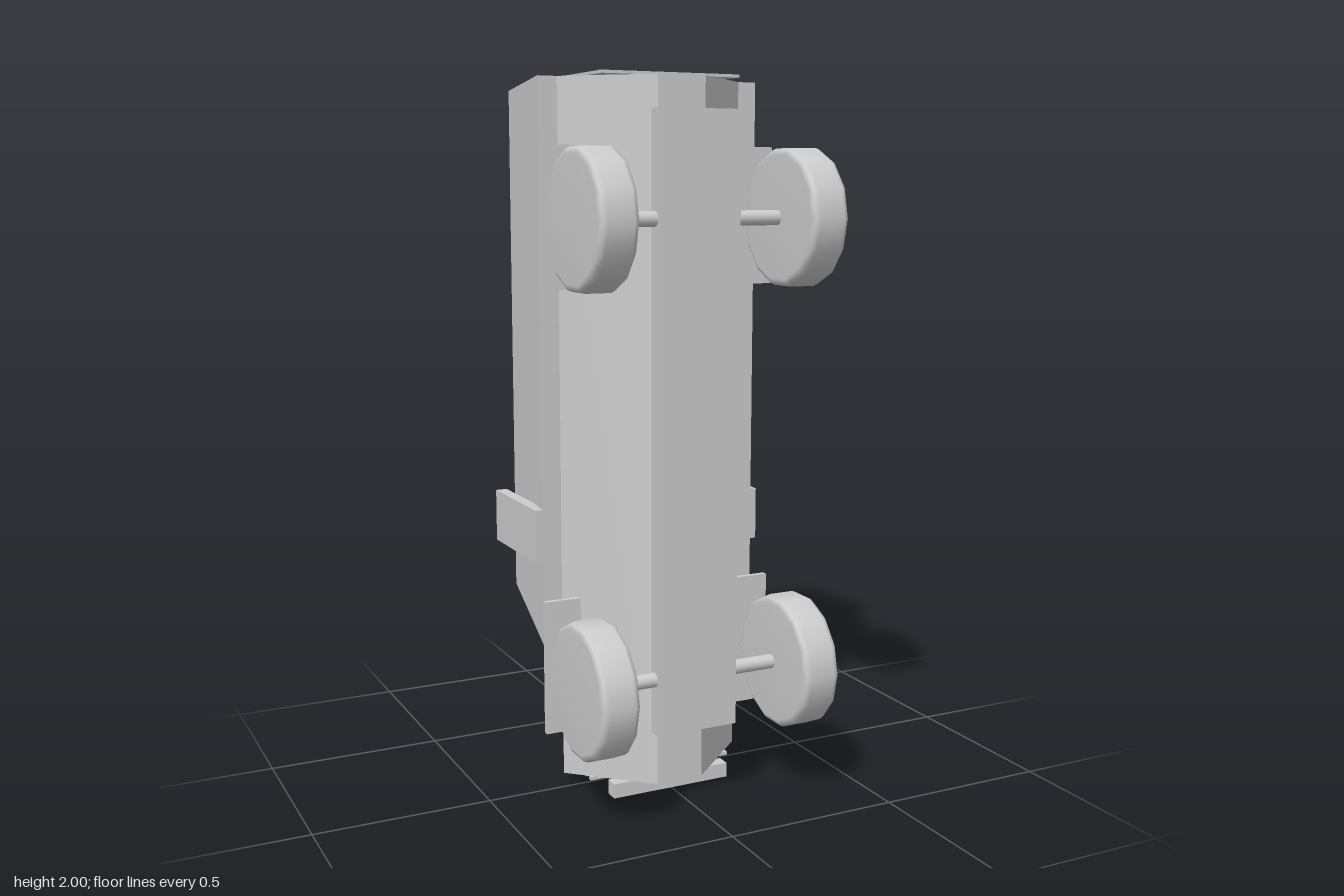
import * as THREE from 'three';

const grey = new THREE.MeshStandardMaterial({ color: 0xcccccc, side: THREE.DoubleSide });
grey.name = 'plain grey';

export function createModel() {
  const model = new THREE.Group();
  model.name = 'armouredTruck';

  const add = (name, geo, parent = model) => {
    const m = new THREE.Mesh(geo, grey);
    m.name = name;
    parent.add(m);
    return m;
  };
  // Box given by its extents on each axis
  const box = (name, x0, x1, y0, y1, z0, z1, parent) => {
    const g = new THREE.BoxGeometry(Math.abs(x1 - x0), y1 - y0, z1 - z0);
    g.translate((x0 + x1) / 2, (y0 + y1) / 2, (z0 + z1) / 2);
    return add(name, g, parent);
  };
  const quad = (name, a, b, c, d) => {
    const g = new THREE.BufferGeometry();
    g.setAttribute('position', new THREE.Float32BufferAttribute([a, b, c, a, c, d].flat(), 3));
    g.computeVertexNormals();
    return add(name, g);
  };

  // Upper hull: tapered thin shell, wide at the floor and narrow at the roof
  const f = [[-0.33, 0.43, 0], [0.33, 0.43, 0], [0.33, 1.99, 0], [-0.33, 1.99, 0]];
  const r = [[-0.28, 0.52, -0.347], [0.28, 0.52, -0.347], [0.28, 1.97, -0.347], [-0.28, 1.97, -0.347]];
  ['windscreenWall', 'leftWall', 'rearWall', 'rightWall'].forEach((name, i) => {
    const j = (i + 1) % 4;
    quad(name, f[i], r[i], r[j], f[j]);
  });
  quad('floor', f[0], f[1], f[2], f[3]);

  // Roof with the long cabin opening and the round hatch hole
  const roof = new THREE.Shape(r.map(p => new THREE.Vector2(p[0], p[1])));
  roof.holes.push(new THREE.Path([[-0.24, 1.03], [-0.24, 1.9], [0.24, 1.9], [0.24, 1.03]]
    .map(p => new THREE.Vector2(...p))));
  roof.holes.push(new THREE.Path().absarc(0, 0.74, 0.17, 0, Math.PI * 2, true));
  const roofGeo = new THREE.ShapeGeometry(roof, 12);
  roofGeo.translate(0, 0, -0.347);
  roofGeo.scale(1, 1, 1);
  add('roof', roofGeo);

  // Bulkhead between cabin and crew bay
  quad('bulkhead', [-0.325, 1.02, -0.001], [0.325, 1.02, -0.001], [0.28, 1.02, -0.346], [-0.28, 1.02, -0.346]);

  // V-shaped lower hull
  const vee = new THREE.Shape([[-0.275, 0], [0.275, 0], [0.07, 0.19], [-0.07, 0.19]]
    .map(p => new THREE.Vector2(...p)));
  const veeGeo = new THREE.ExtrudeGeometry(vee, { depth: 1.945, bevelEnabled: false });
  veeGeo.rotateX(Math.PI / 2);
  veeGeo.translate(0, 1.99, 0.001);
  add('lowerHull', veeGeo);

  box('bonnet', -0.225, 0.225, 0.045, 0.432, -0.076, 0);
  box('bumper', -0.18, 0.18, 0.003, 0.045, 0.1, 0.14);
  box('rearRamp', -0.205, 0.205, 1.992, 2, -0.322, 0.132);
  box('chassisBeam', -0.12, 0.12, 0.23, 1.9, 0.255, 0.297);
  box('fuelCap', 0.13, 0.16, 0.755, 0.78, 0.105, 0.13);

  // Grille slats on the nose
  for (let i = 0; i < 4; i++) {
    const z = -0.045 + i * 0.033;
    box('grilleSlat', -0.22, 0.22, 0.037, 0.047, z, z + 0.015);
  }

  // Wheels, axles and fenders
  const tyre = [[0, -0.055], [0.168, -0.055], [0.182, -0.048], [0.187, -0.036],
    [0.187, 0.036], [0.182, 0.048], [0.168, 0.055], [0, 0.055]].map(p => new THREE.Vector2(...p));
  for (const y of [0.385, 1.62]) {
    const axle = new THREE.CylinderGeometry(0.02, 0.02, 0.5, 16);
    axle.rotateZ(Math.PI / 2);
    axle.translate(0, y, 0.274);
    add('axle', axle);
    for (const s of [-1, 1]) {
      const wheel = new THREE.LatheGeometry(tyre, 14);
      wheel.rotateZ(Math.PI / 2);
      wheel.translate(s * 0.3, y, 0.275);
      add('wheel', wheel);
      box('fender', s * 0.245, s * 0.35, y - 0.19, y + 0.19, 0.047, 0.063);
    }
  }

  for (const s of [-1, 1]) {
    box('sideLocker', s * 0.317, s * 0.35, 0.67, 0.82, -0.317, -0.003);
    // Five seats along each cabin wall
    for (let i = 0; i < 5; i++) {
      const y = 1.12 + i * 0.157;
      box('seatCushion', s * 0.13, s * 0.27, y - 0.055, y + 0.055, -0.115, -0.085);
      box('seatBack', s * 0.262, s * 0.277, y - 0.055, y + 0.055, -0.3, -0.085);
    }
  }

  // Hatch ring
  const ring = new THREE.Shape().absarc(0, 0, 0.22, 0, Math.PI * 2);
  ring.holes.push(new THREE.Path().absarc(0, 0, 0.17, 0, Math.PI * 2, true));
  const ringGeo = new THREE.ExtrudeGeometry(ring, { depth: 0.01, bevelEnabled: false, curveSegments: 12 });
  ringGeo.translate(0, 0.74, -0.358);
  add('hatchRing', ringGeo);
  box('hatchLatch', -0.012, 0.012, 0.91, 0.945, -0.365, -0.357);

  // Gun mount: platform, crossbar, curved arms and two guns
  const mount = new THREE.Group();
  mount.name = 'gunMount';
  model.add(mount);
  box('mountPlatform', -0.15, 0.15, 0.648, 0.656, -0.46, -0.355, mount);
  const bar = new THREE.CylinderGeometry(0.005, 0.005, 0.36, 8);
  bar.rotateZ(Math.PI / 2);
  bar.translate(0, 0.66, -0.432);
  add('crossbar', bar, mount);
  for (const s of [-1, 1]) {
    const arc = new THREE.QuadraticBezierCurve3(new THREE.Vector3(s * 0.176, 0.81, -0.355),
      new THREE.Vector3(s * 0.176, 0.8, -0.435), new THREE.Vector3(s * 0.176, 0.655, -0.435));
    add('curvedArm', new THREE.TubeGeometry(arc, 10, 0.007, 6), mount);
  }
  for (const x of [-0.065, 0.11]) {
    const barrel = new THREE.CylinderGeometry(0.009, 0.009, 0.2, 10);
    barrel.translate(x, 0.575, -0.43);
    add('gunBarrel', barrel, mount);
    box('gunReceiver', x - 0.012, x + 0.012, 0.665, 0.785, -0.45, -0.415, mount);
    box('gunGrip', x - 0.01, x + 0.01, 0.785, 0.802, -0.447, -0.412, mount);
    box('ammoFeed', x - 0.012, x + 0.012, 0.68, 0.725, -0.463, -0.448, mount);
    box('cradleBase', x - 0.02, x + 0.02, 0.65, 0.69, -0.4, -0.39, mount);
    for (const s of [-1, 1]) {
      const cx = x + s * 0.018;
      box('cradleCheek', cx - 0.003, cx + 0.003, 0.65, 0.7, -0.445, -0.39, mount);
    }
  }
  return model;
}
